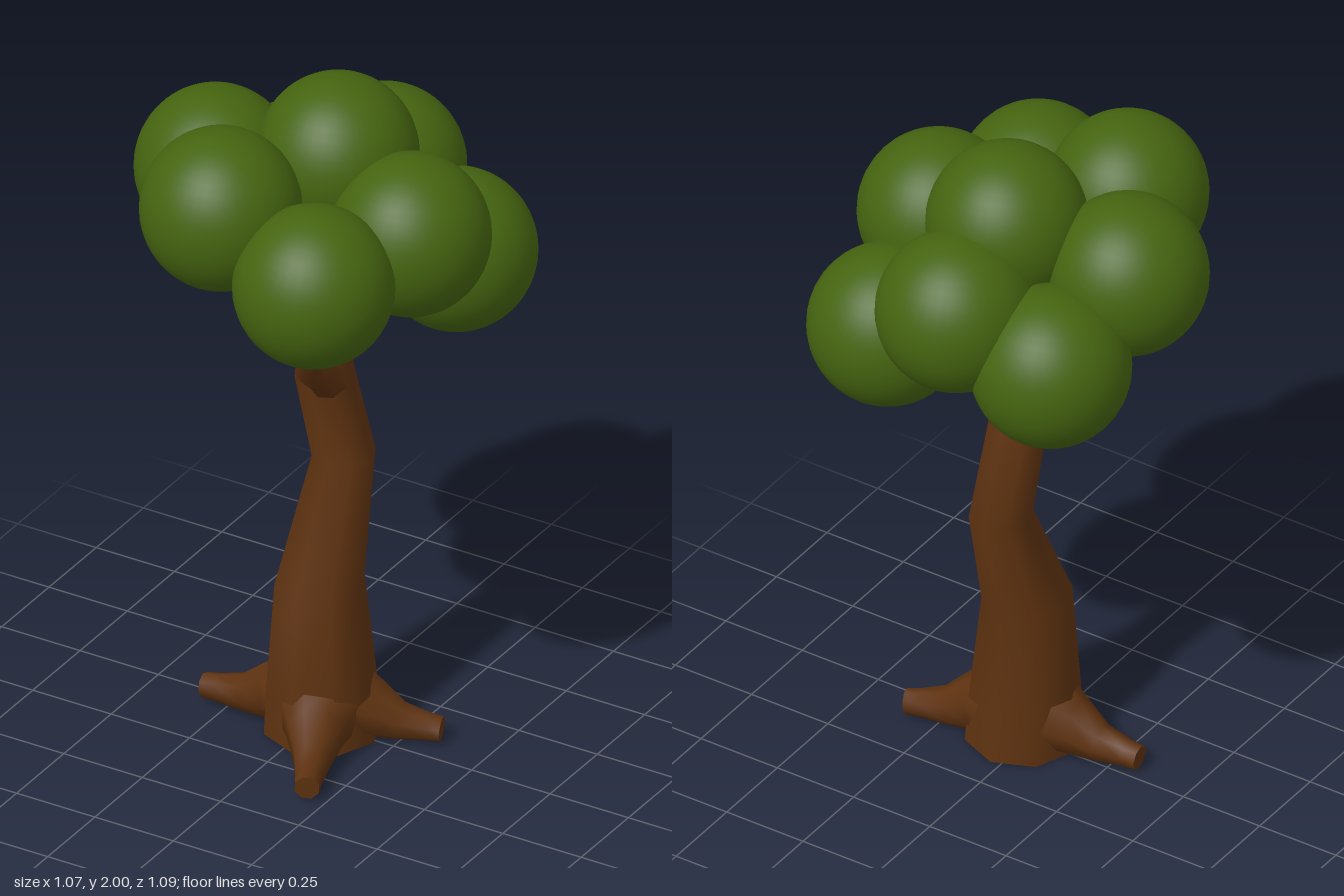
import * as THREE from 'three';

const bark = new THREE.MeshStandardMaterial({ color: 0x5e3210 });
const leaf = new THREE.MeshStandardMaterial({ color: 0x456410 });
const SIDES = 8;

// Closed loft through rings [x, y, z, radius]; rings lie flat or across the path
function loft(name, rings, flat = false) {
  const pos = [], index = [];
  const centres = rings.map(r => new THREE.Vector3(r[0], r[1], r[2]));
  const up = new THREE.Vector3(0, 1, 0), last = rings.length - 1;
  rings.forEach((r, i) => {
    const dir = centres[Math.min(i + 1, last)].clone().sub(centres[Math.max(i - 1, 0)]).normalize();
    const q = new THREE.Quaternion().setFromUnitVectors(up, flat ? up : dir);
    for (let j = 0; j < SIDES; j++) {
      const a = (j / SIDES) * Math.PI * 2;
      const p = new THREE.Vector3(Math.sin(a) * r[3], 0, Math.cos(a) * r[3]).applyQuaternion(q).add(centres[i]);
      pos.push(p.x, Math.max(p.y, 0), p.z);
    }
  });
  for (let i = 0; i < last; i++) {
    for (let j = 0; j < SIDES; j++) {
      const a = i * SIDES + j, b = i * SIDES + (j + 1) % SIDES;
      index.push(a, b, b + SIDES, a, b + SIDES, a + SIDES);
    }
  }
  // End caps have their own vertices so the rims stay sharp
  for (const end of [0, last]) {
    const base = pos.length / 3;
    pos.push(...pos.slice(end * SIDES * 3, (end + 1) * SIDES * 3));
    for (let j = 1; j < SIDES - 1; j++) {
      if (end === 0) index.push(base, base + j + 1, base + j);
      else index.push(base, base + j, base + j + 1);
    }
  }
  const geo = new THREE.BufferGeometry();
  geo.setAttribute('position', new THREE.Float32BufferAttribute(pos, 3));
  geo.setIndex(index);
  geo.computeVertexNormals();
  const mesh = new THREE.Mesh(geo, bark);
  mesh.name = name;
  return mesh;
}

export function createModel() {
  const tree = new THREE.Group();
  tree.name = 'tree';

  // Crooked trunk
  tree.add(loft('trunk', [
    [0.03, 0, 0.01, 0.165],
    [0.03, 0.14, 0.015, 0.157],
    [0.025, 0.47, 0.018, 0.127],
    [0.025, 0.81, -0.11, 0.09],
    [0.025, 1.11, -0.01, 0.085],
    [0.02, 1.41, 0.005, 0.048],
    [0.02, 1.58, 0.01, 0.03],
  ], true));

  // Side branch reaching into the front foliage
  tree.add(loft('branch', [
    [0.04, 1.09, -0.01, 0.06],
    [0.07, 1.16, 0.08, 0.05],
    [0.105, 1.25, 0.21, 0.038],
    [0.15, 1.4, 0.25, 0.033],
    [0.16, 1.46, 0.26, 0.03],
  ]));

  // Roots spread from the foot of the trunk and flatten against the ground
  const roots = new THREE.Group();
  roots.name = 'roots';
  for (const [name, x, z] of [['rightRoot', -0.33, 0.04], ['leftRoot', 0.35, -0.09], ['frontRoot', 0.2, 0.375]]) {
    const along = (t, y, r) => [0.03 + (x - 0.03) * t, y, 0.01 + (z - 0.01) * t, r];
    roots.add(loft(name, [
      along(0.15, 0.1, 0.13),
      along(0.42, 0.08, 0.085),
      along(0.65, 0.05, 0.055),
      along(0.88, 0.043, 0.04),
      along(1, 0.04, 0.036),
    ]));
  }
  tree.add(roots);

  // Round leaf clusters
  const foliage = new THREE.Group();
  foliage.name = 'foliage';
  const ball = new THREE.SphereGeometry(1, 40, 24);
  for (const [x, y, z] of [
    [0.025, 1.77, -0.08],
    [0.03, 1.615, -0.323],
    [-0.24, 1.5, -0.265],
    [0.283, 1.445, -0.28],
    [-0.312, 1.675, 0.01],
    [0.31, 1.645, 0.01],
    [-0.135, 1.725, 0.275],
    [0.19, 1.6, 0.322],
  ]) {
    const cluster = new THREE.Mesh(ball, leaf);
    cluster.name = 'leafCluster';
    cluster.scale.set(0.224, 0.23, 0.224);
    cluster.position.set(x, y, z);
    foliage.add(cluster);
  }
  tree.add(foliage);

  return tree;
}
